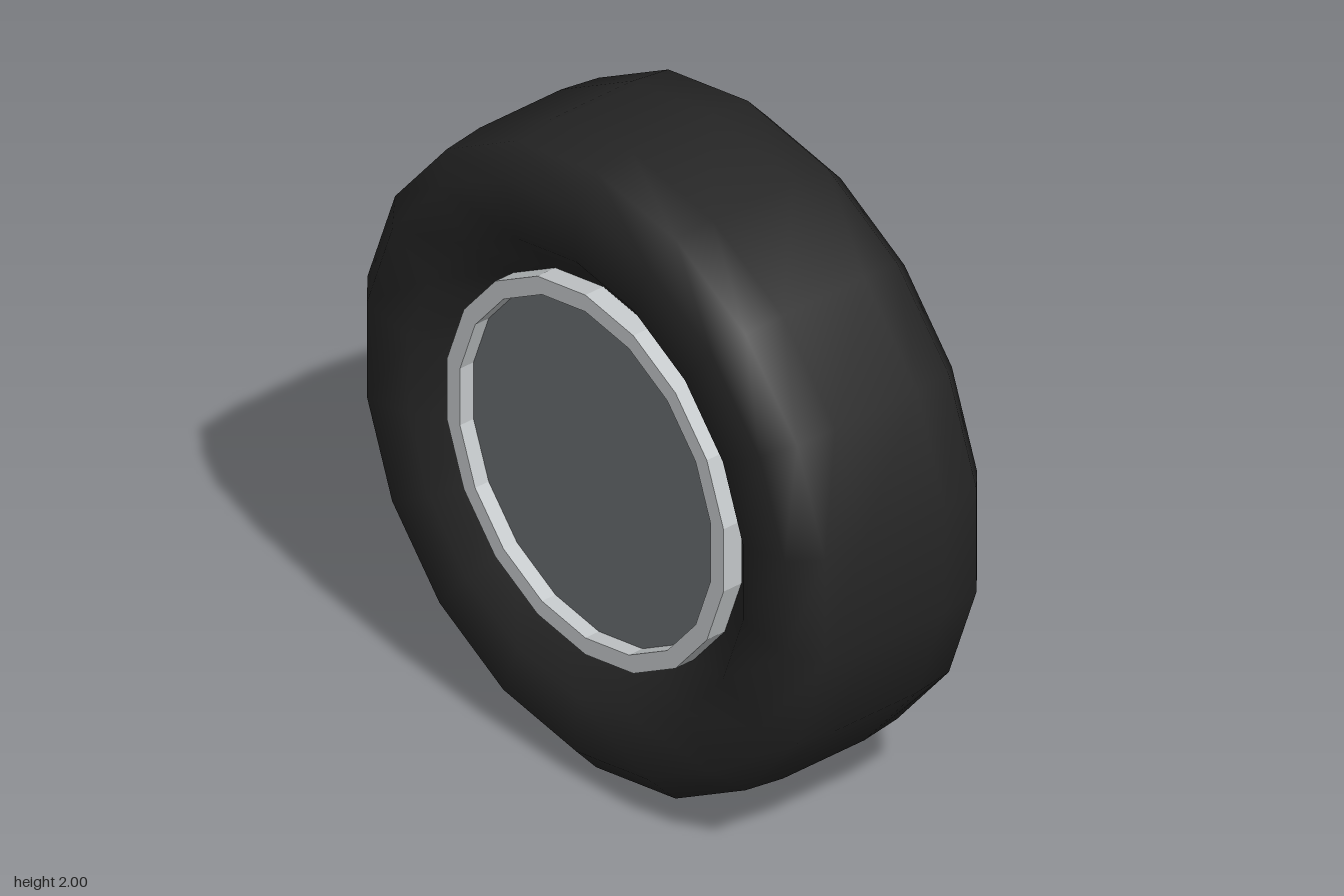
import * as THREE from 'three';

const SIDES = 18;

// Lathe around the axle (x). Points are [radius, x]; a corner points straight up.
function axleLathe(points, smooth) {
  const profile = points.map(([r, x]) => new THREE.Vector2(r, x));
  let geo = new THREE.LatheGeometry(profile, SIDES, Math.PI / 2);
  geo.rotateZ(-Math.PI / 2);
  if (!smooth) {
    geo = geo.toNonIndexed();
    geo.computeVertexNormals();
  }
  return geo;
}

// Flat-sided cylinder along the axle between two x positions.
function axleCylinder(radius, x0, x1, sides) {
  let geo = new THREE.CylinderGeometry(radius, radius, x1 - x0, sides, 1, false, Math.PI / 2);
  geo.rotateZ(-Math.PI / 2);
  geo.translate((x0 + x1) / 2, 0, 0);
  geo = geo.toNonIndexed();
  geo.computeVertexNormals();
  return geo;
}

export function createModel() {
  const rubber = new THREE.MeshStandardMaterial({ color: 0x252525 });
  rubber.name = 'black rubber';
  const silver = new THREE.MeshStandardMaterial({ color: 0xc4c8ca });
  silver.name = 'silver metal';
  const grey = new THREE.MeshStandardMaterial({ color: 0x686c6f });
  grey.name = 'dark grey metal';

  const wheel = new THREE.Group();
  wheel.name = 'wheel';
  const add = (name, geo, material) => {
    const mesh = new THREE.Mesh(geo, material);
    mesh.name = name;
    wheel.add(mesh);
    return mesh;
  };

  // Tyre: one half of the section, mirrored to the other sidewall
  const half = [[1, 0.15], [0.985, 0.28], [0.9, 0.355], [0.72, 0.355], [0.59, 0.25]];
  const mirrored = half.map(([r, x]) => [r, -x]).reverse();
  add('tyre', axleLathe([...mirrored, ...half], true), rubber);

  // Rim barrel with a flat lip on each side
  add('rim', axleLathe(
    [[0.54, -0.32], [0.595, -0.32], [0.595, 0.32], [0.54, 0.32], [0.54, -0.32]], false), silver);

  // Solid plate closing the barrel behind the spokes
  add('backPlate', axleCylinder(0.545, -0.27, 0.1, SIDES), grey);

  // Five spokes, the first pointing straight down
  for (let i = 0; i < 5; i++) {
    const geo = new THREE.BoxGeometry(0.08, 0.55, 0.14);
    geo.translate(0.195, -0.275, 0);
    const spoke = add('spoke' + (i + 1), geo, silver);
    spoke.rotation.x = (i * Math.PI * 2) / 5;
  }

  // Octagonal hub cap
  add('hubCap', axleCylinder(0.11, 0.1, 0.28, 8), silver);

  wheel.position.y = 1;
  const model = new THREE.Group();
  model.add(wheel);
  return model;
}
